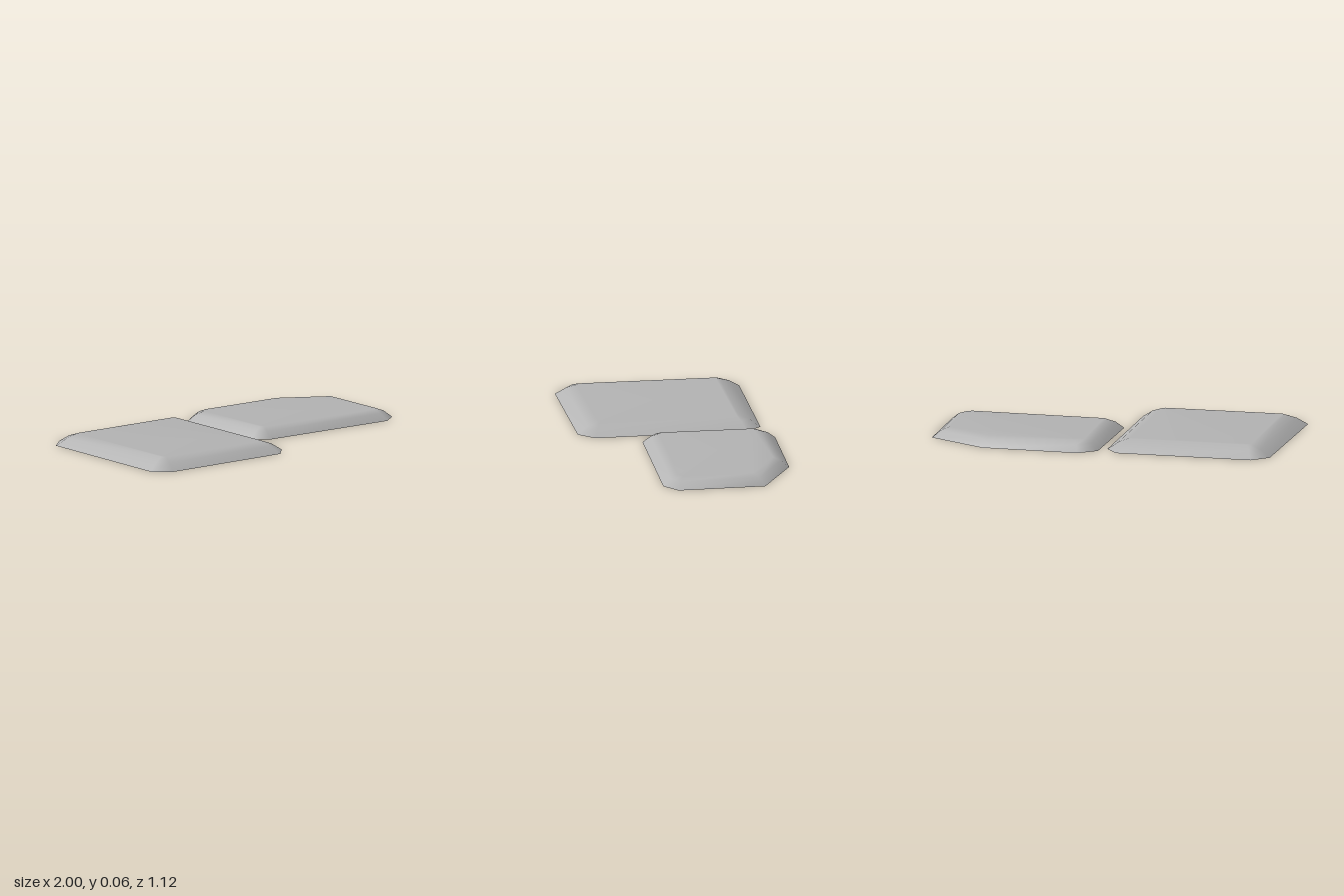
import * as THREE from 'three';

// Moves each side of a convex [x, z] outline inwards by d, with mitred corners.
function inset(points, d) {
  const n = points.length;
  const normal = (a, b) => {
    const dx = b[0] - a[0], dz = b[1] - a[1], l = Math.hypot(dx, dz);
    return [-dz / l, dx / l];
  };
  return points.map((p, i) => {
    const a = normal(points[(i + n - 1) % n], p);
    const b = normal(p, points[(i + 1) % n]);
    const k = d / (1 + a[0] * b[0] + a[1] * b[1]);
    return [p[0] + (a[0] + b[0]) * k, p[1] + (a[1] + b[1]) * k];
  });
}

// Open-bottomed shell: rings rise along the [inset, height] profile to a flat cap.
function slabGeometry(outline, profile) {
  const n = outline.length, positions = [], index = [];
  for (const [d, y] of profile) {
    for (const [x, z] of inset(outline, d)) positions.push(x, y, z);
  }
  for (let r = 0; r < profile.length - 1; r++) {
    for (let i = 0; i < n; i++) {
      const b0 = r * n + i, b1 = r * n + (i + 1) % n;
      index.push(b1, b0, b0 + n, b1, b0 + n, b1 + n);
    }
  }
  const top = (profile.length - 1) * n;
  for (let i = 1; i < n - 1; i++) index.push(top, top + i + 1, top + i);
  const geometry = new THREE.BufferGeometry();
  geometry.setAttribute('position', new THREE.Float32BufferAttribute(positions, 3));
  geometry.setIndex(index);
  geometry.computeVertexNormals();
  return geometry;
}

export function createModel() {
  const group = new THREE.Group();
  group.name = 'pavingSlabs';
  const stone = new THREE.MeshStandardMaterial({ color: 0xb4b4b4, side: THREE.DoubleSide });
  stone.name = 'grey stone';

  const addSlab = (name, outline, profile) => {
    const mesh = new THREE.Mesh(slabGeometry(outline, profile), stone);
    mesh.name = name;
    group.add(mesh);
  };

  // Larger slab, slightly skewed with four clipped corners
  addSlab('largeSlab', [
    [-1, -0.41], [-0.91, -0.5], [-0.12, -0.51], [-0.05, -0.42],
    [-0.04, 0.45], [-0.12, 0.54], [-0.9, 0.56], [-1, 0.48],
  ], [[0, 0], [0.06, 0.04], [0.12, 0.062]]);

  // Smaller slab with one long clipped corner at the back
  addSlab('smallSlab', [
    [-0.01, -0.48], [0.09, -0.565], [0.65, -0.565], [0.99, -0.38],
    [1, 0.12], [0.91, 0.195], [0.07, 0.195], [-0.01, 0.13],
  ], [[0, 0], [0.045, 0.038], [0.09, 0.056]]);

  return group;
}
